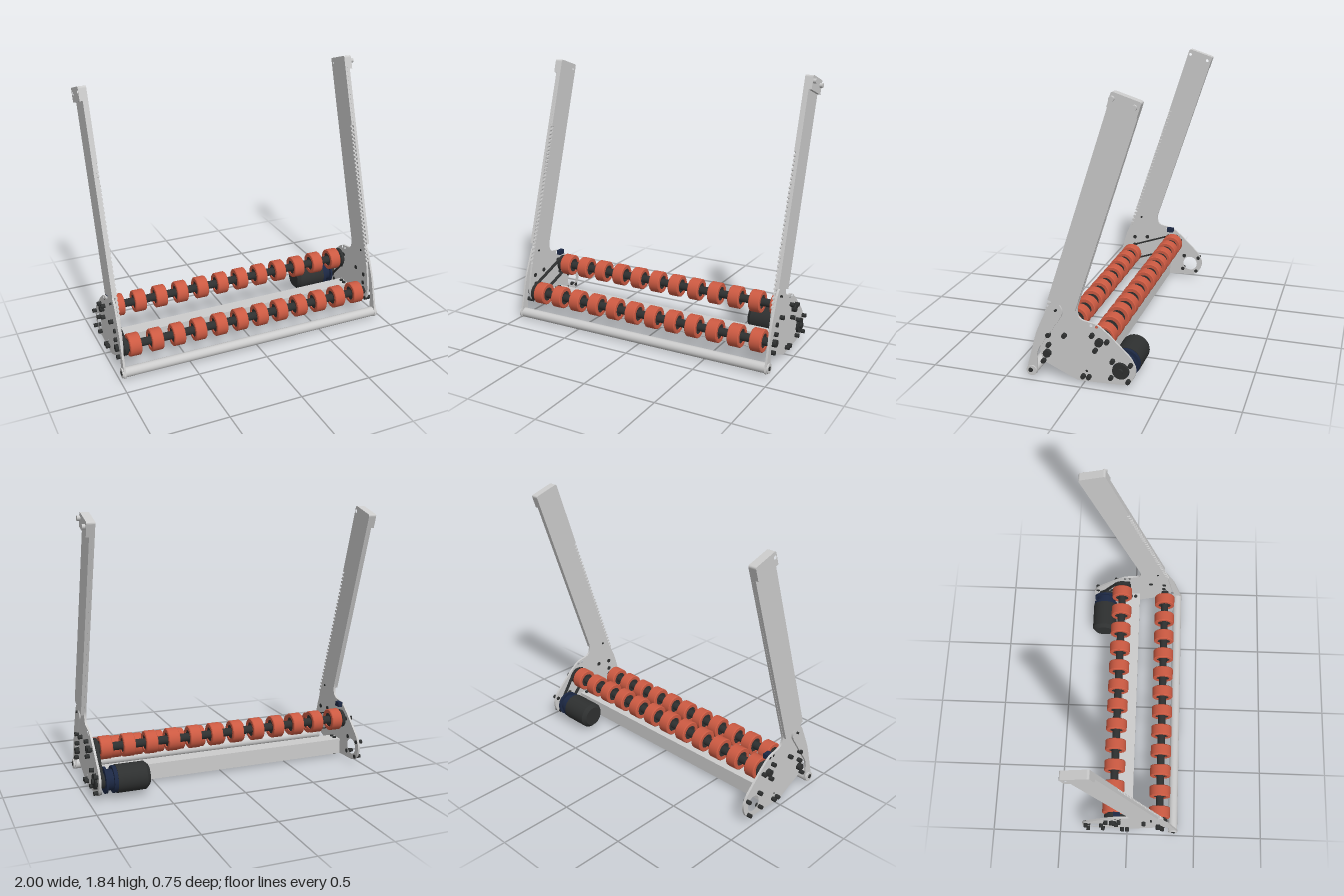
import * as THREE from 'three';

const mat = (color) => new THREE.MeshStandardMaterial({ color });
const GREY = mat(0xcccccc);
const DARK = mat(0x2e3030);
const RED = mat(0xcc5a42);
const NAVY = mat(0x1c2844);

const HALF_PI = Math.PI / 2;
const FRONT_AXLE = [0.235, 0.175]; // [z, y]
const REAR_AXLE = [-0.105, 0.295];
const MOTOR_AXIS = [-0.24, 0.12];

function add(parent, name, geometry, material) {
  const mesh = new THREE.Mesh(geometry, material);
  mesh.name = name;
  parent.add(mesh);
  return mesh;
}

// Closed outline from [z, y, cornerRadius] points
function outline(points, holes = []) {
  const shape = new THREE.Shape();
  const n = points.length;
  points.forEach(([z, y, r = 0], i) => {
    const p = new THREE.Vector2(z, y);
    const toward = (q) => {
      const d = new THREE.Vector2(q[0], q[1]).sub(p);
      return d.setLength(Math.min(r, d.length() / 2)).add(p);
    };
    const a = r ? toward(points[(i + n - 1) % n]) : p;
    if (i === 0) shape.moveTo(a.x, a.y);
    else shape.lineTo(a.x, a.y);
    if (r) {
      const b = toward(points[(i + 1) % n]);
      shape.quadraticCurveTo(z, y, b.x, b.y);
    }
  });
  shape.closePath();
  for (const [z, y, r] of holes) {
    shape.holes.push(new THREE.Path().absarc(z, y, r, 0, Math.PI * 2, true));
  }
  return shape;
}

// Extrudes a z-y outline between |x| = x0 and x1 on the given side
function slab(shape, side, x0, x1) {
  const g = new THREE.ExtrudeGeometry(shape, { depth: x1 - x0, bevelEnabled: false, curveSegments: 10 });
  g.rotateY(-HALF_PI);
  return g.translate(side > 0 ? x1 : -x0, 0, 0);
}

// Cylinder lying along x
function rod([z, y], r, x0, x1, segments = 24) {
  const g = new THREE.CylinderGeometry(r, r, Math.abs(x1 - x0), segments);
  return g.rotateZ(HALF_PI).translate((x0 + x1) / 2, y, z);
}

function box(w, h, d, x, y, z) {
  return new THREE.BoxGeometry(w, h, d).translate(x, y, z);
}

// Belt loop round two pulleys
function beltDrive(parent, name, a, b, ra, rb, x0, x1) {
  const angle = Math.atan2(b[1] - a[1], b[0] - a[0]);
  const loop = (path, grow) => {
    path.absarc(a[0], a[1], ra + grow, angle + HALF_PI, angle + 3 * HALF_PI, false);
    path.absarc(b[0], b[1], rb + grow, angle - HALF_PI, angle + HALF_PI, false);
    path.closePath();
    return path;
  };
  const shape = loop(new THREE.Shape(), 0.006);
  shape.holes.push(loop(new THREE.Path(), -0.002));
  const drive = new THREE.Group();
  drive.name = name;
  add(drive, 'belt', slab(shape, 1, x0 + 0.004, x1 - 0.004), DARK);
  add(drive, 'pulleyA', rod(a, ra, x0, x1), DARK);
  add(drive, 'pulleyB', rod(b, rb, x0, x1), DARK);
  parent.add(drive);
}

// Front edge of the leaning arm
const armFront = (y) => 0.22 - 0.325 * (y - 0.54);

function sideAssembly(side) {
  const group = new THREE.Group();
  group.name = side > 0 ? 'leftSide' : 'rightSide';
  const capHoles = [[-0.205, 1.8, 0.012], [-0.335, 1.757, 0.012]];

  // Hub plate running up the arm, with a toothed front edge
  const points = [
    [0.29, 0.19, 0.03], [0.27, 0.115, 0.02], [0.04, 0.012, 0.03], [-0.2, 0.022, 0.03], [-0.3, 0.03, 0.06],
    [-0.345, 0.13, 0.06], [-0.305, 0.21, 0.03], [-0.16, 0.35, 0.03], [-0.09, 0.405, 0.03],
    [0.025, 0.425, 0.035], [0.042, 0.483, 0.03], [-0.375, 1.785, 0.015], [-0.2, 1.84, 0.015],
  ];
  const pitch = 0.028;
  for (let i = 0; i < 35; i++) {
    const y = 1.38 - i * pitch;
    points.push(
      [armFront(y), y], [armFront(y - 0.011), y - 0.011],
      [armFront(y - 0.015) - 0.019, y - 0.019], [armFront(y - 0.024) - 0.019, y - 0.028],
    );
  }
  points.push([0.25, 0.395], [0.272, 0.3]);
  const plateHoles = [...capHoles, [-0.05, 0.395, 0.01], [-0.085, 0.39, 0.01], [...MOTOR_AXIS, 0.055],
    [-0.02, 0.085, 0.008]];
  add(group, 'hubPlate', slab(outline(points, plateHoles), side, 0.935, 0.95), GREY);

  // Outer arm bar and thicker end cap
  const arm = [[0.22, 0.54], [0.045, 0.483], [-0.346, 1.695], [-0.171, 1.75]];
  add(group, 'arm', slab(outline(arm), side, 0.95, 0.97), GREY);
  const cap = [[-0.171, 1.75], [-0.346, 1.695], [-0.375, 1.785, 0.015], [-0.2, 1.84, 0.015]];
  add(group, 'armCap', slab(outline(cap, capHoles), side, 0.95, 0.99), GREY);
  if (side > 0) {
    for (const [z, y] of capHoles) add(group, 'capBolt', rod([z, y], 0.016, 0.94, 1.01, 12), GREY);
  }

  // Link carrying the front bar
  const link = [[0.384, 0.01, 0.04], [0.305, 0.01, 0.04], [0.305, 0.18, 0.05], [0.12, 0.46, 0.04],
    [0.165, 0.545, 0.04], [0.22, 0.5, 0.03], [0.305, 0.31, 0.05]];
  add(group, 'frontLink', slab(outline(link), side, 0.951, 0.965), GREY);

  // Bolts and bearings: [z, y, radius]
  const bolts = [
    [0.17, 0.475, 0.008], [0.225, 0.3, 0.015], [0.12, 0.31, 0.015], [0.225, 0.233, 0.015], [0.26, 0.12, 0.015],
    [0.345, 0.048, 0.015], [-0.06, 0.335, 0.015], [-0.155, 0.305, 0.015], [-0.08, 0.238, 0.015],
    [-0.19, 0.18, 0.015], [-0.305, 0.17, 0.014], [-0.29, 0.058, 0.014], [-0.18, 0.068, 0.014],
    [0, 0.052, 0.015], [-0.037, 0.052, 0.015], [...FRONT_AXLE, 0.025], [...REAR_AXLE, 0.025],
  ];
  for (const [z, y, r] of bolts) {
    add(group, 'bolt', rod([z, y], r, side * 0.93, side * 0.978, 12), DARK);
  }

  // Vertical bolts through the crossbeam
  for (const z of [0, -0.037]) {
    add(group, 'beamBolt', new THREE.CylinderGeometry(0.013, 0.013, 0.135, 12).translate(side * 0.91, 0.0675, z), DARK);
  }
  return group;
}

function rollerRow(name, [z, y]) {
  const row = new THREE.Group();
  row.name = name;
  row.position.set(0, y, z);
  const tyreProfile = [[0.05, -0.04], [0.072, -0.04], [0.077, -0.035], [0.077, 0.035], [0.072, 0.04],
    [0.05, 0.04], [0.05, -0.04]].map(([r, h]) => new THREE.Vector2(r, h));
  // Duplicate points keep the profile edges sharp
  const sharp = tyreProfile.flatMap((p, i) => (i > 0 && i < 6 ? [p, p.clone()] : [p]));
  const tyre = new THREE.LatheGeometry(sharp, 32).rotateZ(HALF_PI);
  const hub = new THREE.CylinderGeometry(0.051, 0.051, 0.066, 24).rotateZ(HALF_PI);
  add(row, 'shaft', rod([0, 0], 0.028, -0.935, 0.935), DARK);
  for (let i = 0; i < 12; i++) {
    const x = (i - 5.5) * 0.155;
    add(row, 'rollerTyre', tyre, RED).position.x = x;
    add(row, 'rollerHub', hub, DARK).position.x = x;
  }
  return row;
}

function motorUnit() {
  const motor = new THREE.Group();
  motor.name = 'motor';
  const profile = [[0, 0], [0.07, 0], [0.07, 0], [0.093, 0.025], [0.093, 0.025], [0.093, 0.22], [0.093, 0.22], [0, 0.22]];
  const body = new THREE.LatheGeometry(profile.map(([r, h]) => new THREE.Vector2(r, h)), 32);
  body.rotateZ(-HALF_PI).translate(0.6, MOTOR_AXIS[1], MOTOR_AXIS[0]);
  add(motor, 'motorBody', body, DARK);
  add(motor, 'gearboxFlange', rod(MOTOR_AXIS, 0.09, 0.82, 0.845), NAVY);
  add(motor, 'gearbox', rod(MOTOR_AXIS, 0.07, 0.845, 0.885), NAVY);
  add(motor, 'mountFlange', rod(MOTOR_AXIS, 0.088, 0.885, 0.9), NAVY);
  add(motor, 'outputShaft', rod(MOTOR_AXIS, 0.052, 0.9, 0.965), DARK);
  add(motor, 'shaftEnd', rod(MOTOR_AXIS, 0.02, 0.96, 0.978), DARK);
  return motor;
}

export function createModel() {
  const model = new THREE.Group();
  model.name = 'rollerIntake';
  model.position.x = -0.01;

  for (const side of [1, -1]) model.add(sideAssembly(side));
  model.add(rollerRow('frontRollers', FRONT_AXLE), rollerRow('rearRollers', REAR_AXLE), motorUnit());

  // Front bar and hollow crossbeam
  add(model, 'frontBar', rod([0.34, 0.045], 0.034, -0.974, 0.974, 32), GREY);
  const beam = new THREE.Group();
  beam.name = 'crossbeam';
  for (const s of [1, -1]) {
    add(beam, 'beamFace', box(1.87, 0.012, 0.11, 0, 0.07 + s * 0.049, -0.02), GREY);
    add(beam, 'beamWall', box(1.87, 0.086, 0.012, 0, 0.07, -0.02 + s * 0.049), GREY);
  }
  model.add(beam);

  // Belts: roller to roller on the right, motor to rear roller on the left
  beltDrive(model, 'rollerBelt', REAR_AXLE, FRONT_AXLE, 0.056, 0.056, -0.93, -0.9);
  beltDrive(model, 'motorBelt', MOTOR_AXIS, REAR_AXLE, 0.045, 0.062, 0.902, 0.932);

  // Small sensor above the right plate
  add(model, 'sensor', box(0.03, 0.034, 0.05, -0.917, 0.395, -0.075), NAVY);
  return model;
}
